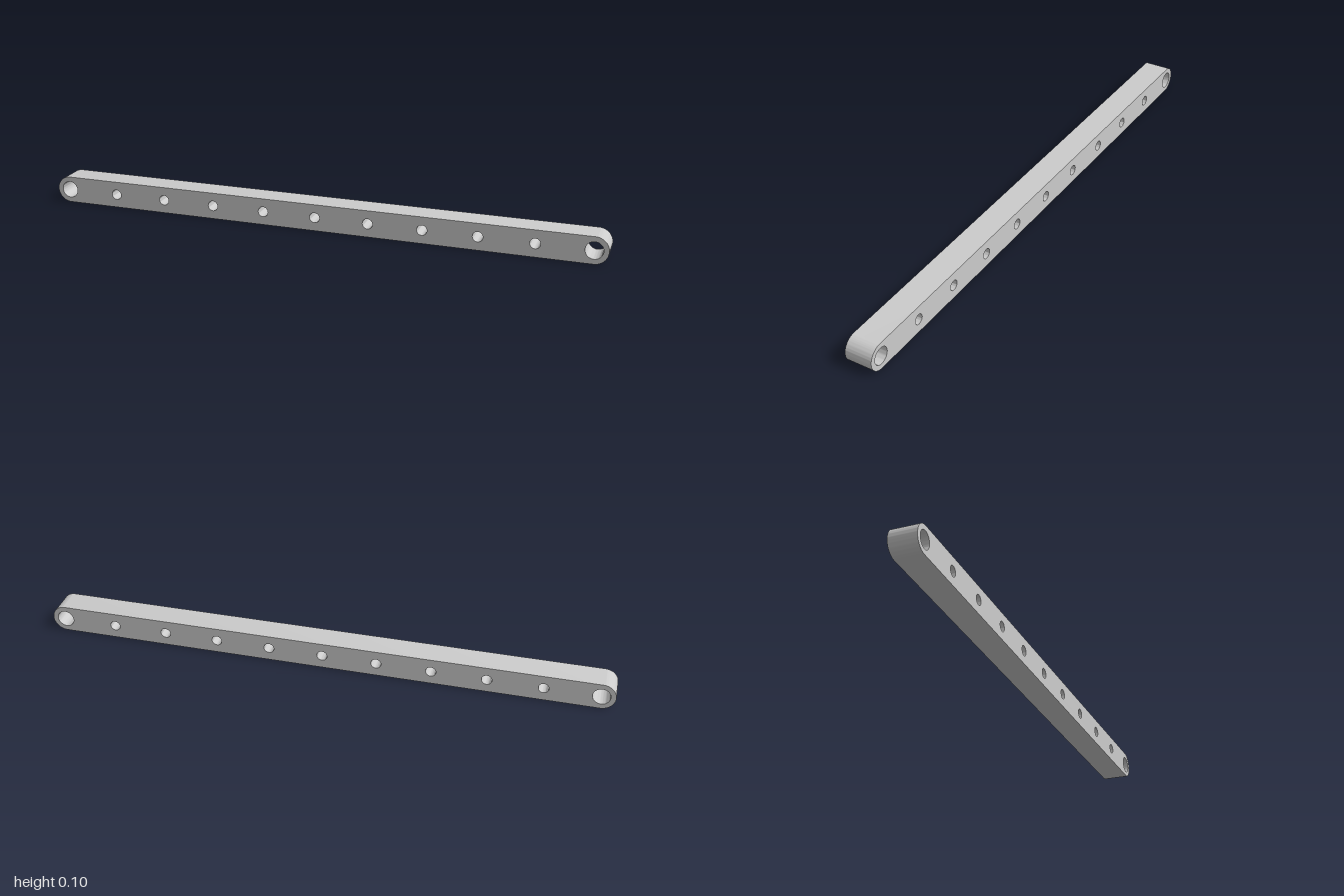
import * as THREE from 'three';
import { toCreasedNormals } from 'three/addons/utils/BufferGeometryUtils.js';

const PITCH = 4 / 21;       // distance between neighbouring holes
const RADIUS = 1 / 21;      // half the bar's height and depth
const STEPS = 5;            // holes on each side of the middle one
const PIN_HOLE = 0.03;      // radius of the end holes
const SMALL_HOLE = 0.018;   // radius of the holes between

export function createModel() {
  const group = new THREE.Group();
  group.name = 'linkBar';

  // Bar outline with fully rounded ends
  const end = STEPS * PITCH;
  const outline = new THREE.Shape();
  outline.moveTo(-end, -RADIUS);
  outline.lineTo(end, -RADIUS);
  outline.absarc(end, 0, RADIUS, -Math.PI / 2, Math.PI / 2, false);
  outline.lineTo(-end, RADIUS);
  outline.absarc(-end, 0, RADIUS, Math.PI / 2, Math.PI * 1.5, false);

  // Row of through holes, larger at both ends
  for (let i = -STEPS; i <= STEPS; i++) {
    const hole = new THREE.Path();
    const r = Math.abs(i) === STEPS ? PIN_HOLE : SMALL_HOLE;
    hole.absarc(i * PITCH, 0, r, 0, Math.PI * 2, true);
    outline.holes.push(hole);
  }

  const geometry = new THREE.ExtrudeGeometry(outline, {
    depth: RADIUS * 2, bevelEnabled: false, curveSegments: 24,
  });
  geometry.translate(0, RADIUS, -RADIUS);

  const bar = new THREE.Mesh(
    toCreasedNormals(geometry, 0.6),
    new THREE.MeshStandardMaterial({ color: 0xcccccc }),
  );
  bar.name = 'perforatedBar';
  group.add(bar);
  return group;
}
